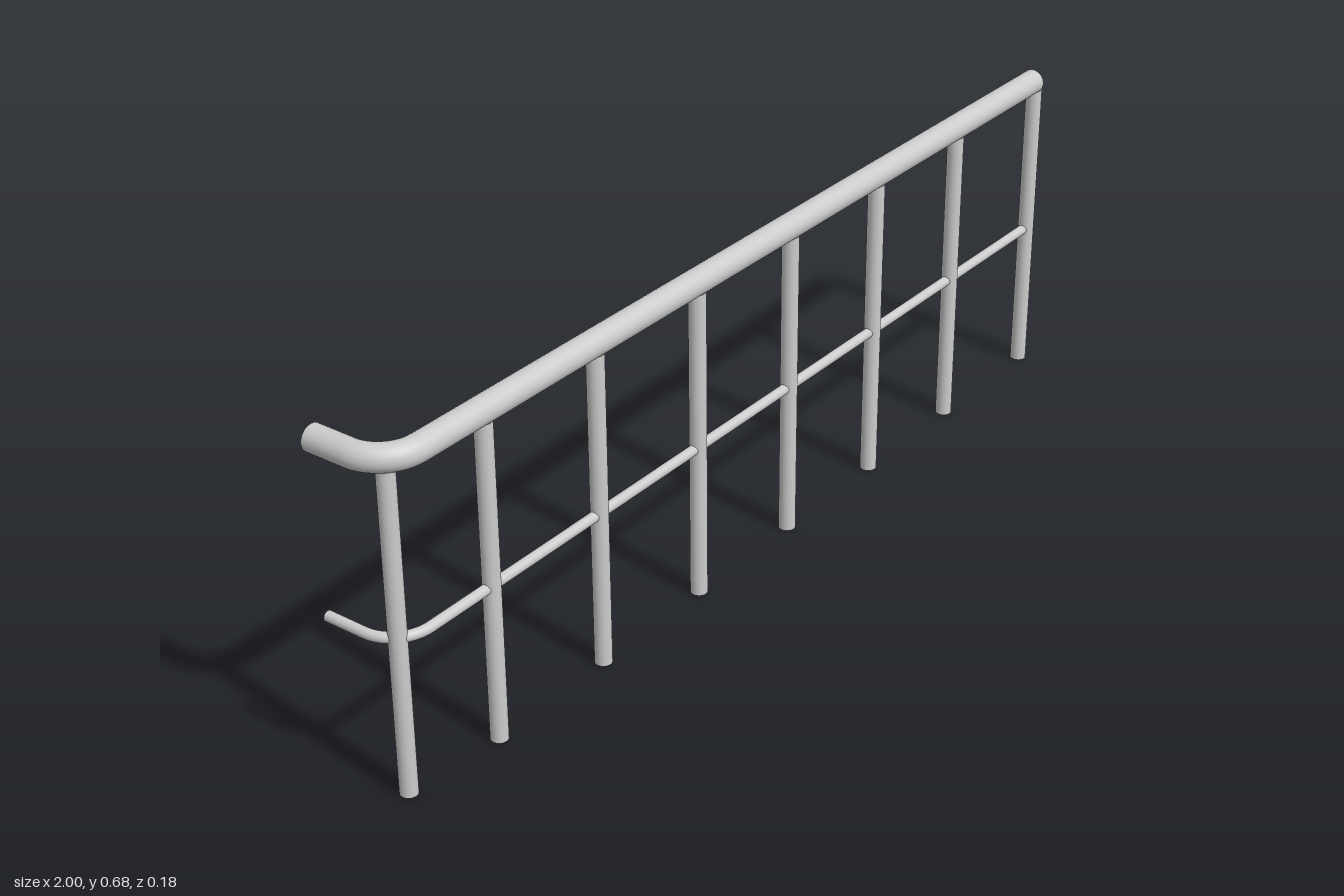
import * as THREE from 'three';

const material = new THREE.MeshStandardMaterial({ color: 0xcccccc, side: THREE.DoubleSide });

const RAIL_Z = 0.066, RETURN_X = -0.975, BACK_Z = -0.09, BEND = 0.075;

// Long straight run, rounded corner, short return towards the back
function railPath(y, endX) {
  const path = new THREE.CurvePath();
  const bendStart = new THREE.Vector3(RETURN_X + BEND, y, RAIL_Z);
  const bendEnd = new THREE.Vector3(RETURN_X, y, RAIL_Z - BEND);
  const k = BEND * 0.448; // distance of the handles from the corner
  path.add(new THREE.LineCurve3(new THREE.Vector3(endX, y, RAIL_Z), bendStart));
  path.add(new THREE.CubicBezierCurve3(
    bendStart,
    new THREE.Vector3(RETURN_X + k, y, RAIL_Z),
    new THREE.Vector3(RETURN_X, y, RAIL_Z - k),
    bendEnd
  ));
  path.add(new THREE.LineCurve3(bendEnd, new THREE.Vector3(RETURN_X, y, BACK_Z)));
  return path;
}

function addRail(group, name, y, radius, endX) {
  const rail = new THREE.Group();
  rail.name = name;
  const tube = new THREE.Mesh(new THREE.TubeGeometry(railPath(y, endX), 200, radius, 32), material);
  tube.name = name + 'Tube';
  // Flat cap on the straight end; the return end stays open
  const cap = new THREE.Mesh(new THREE.CircleGeometry(radius, 32), material);
  cap.name = name + 'Cap';
  cap.rotation.y = Math.PI / 2;
  cap.position.set(endX, y, RAIL_Z);
  rail.add(tube, cap);
  group.add(rail);
}

export function createModel() {
  const group = new THREE.Group();
  group.name = 'railing';

  addRail(group, 'handrail', 0.65, 0.025, 0.975);
  addRail(group, 'middleRail', 0.313, 0.01, 0.975);

  // Upright posts: one in the bend, six evenly spaced, one at the end
  const postHeight = 0.63;
  const postGeometry = new THREE.CylinderGeometry(0.0165, 0.0165, postHeight, 32);
  const addPost = (name, x, z) => {
    const post = new THREE.Mesh(postGeometry, material);
    post.name = name;
    post.position.set(x, postHeight / 2, z);
    group.add(post);
  };
  addPost('cornerPost', -0.953, 0.044);
  for (let i = 0; i < 6; i++) addPost('post' + (i + 1), -0.748 + i * 0.285, RAIL_Z);
  addPost('endPost', 0.982, RAIL_Z);

  return group;
}
